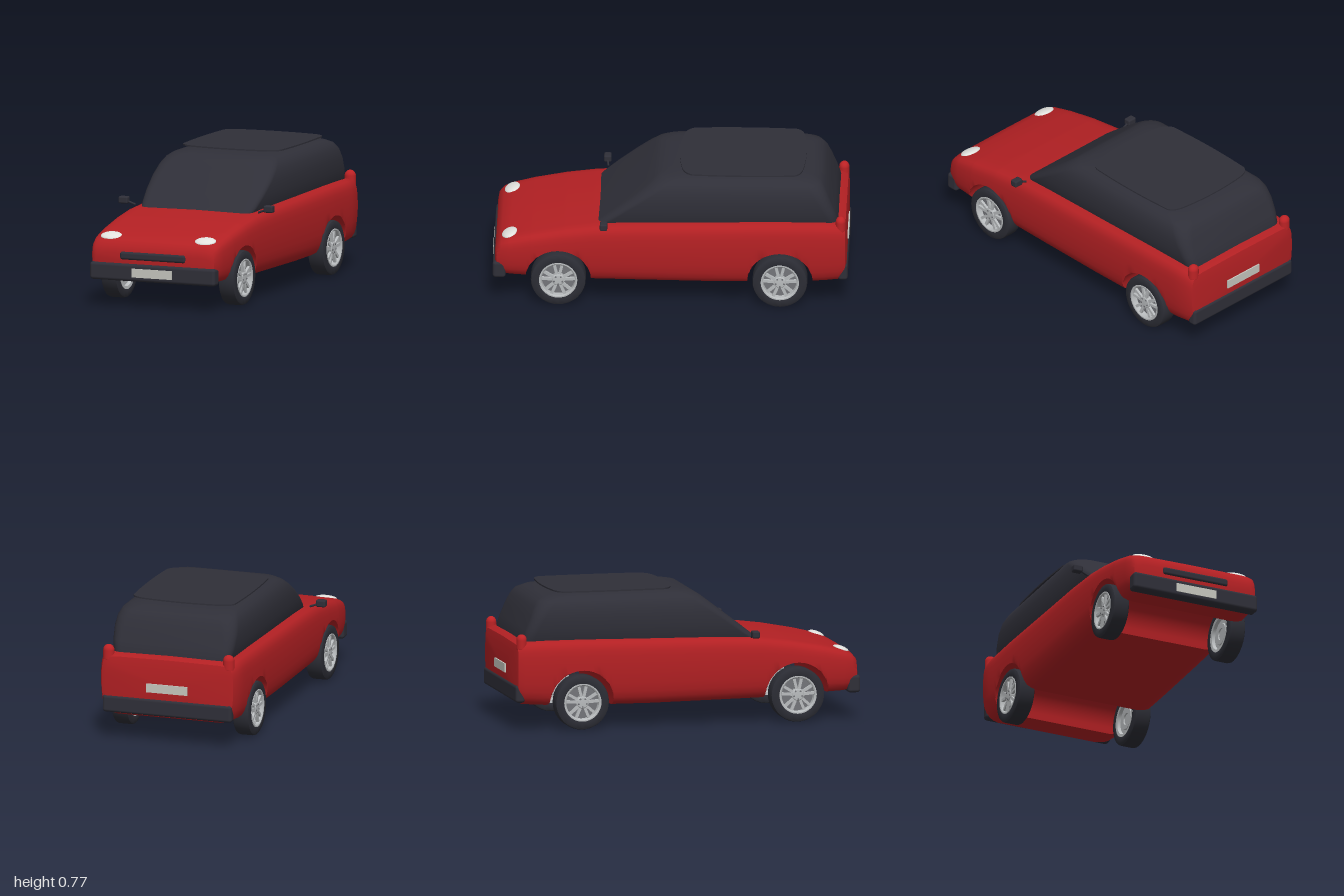
import * as THREE from 'three';
import { toCreasedNormals } from 'three/addons/utils/BufferGeometryUtils.js';
import { RoundedBoxGeometry } from 'three/addons/geometries/RoundedBoxGeometry.js';

function material(name, color) {
  const m = new THREE.MeshStandardMaterial({ color });
  m.name = name;
  return m;
}
const paint = material('red paint', 0xb32023);
const trim = material('dark trim', 0x2f2f38);
const rubber = material('tyre rubber', 0x2c2d35);
const silver = material('wheel silver', 0xb9bcbe);
const shade = material('wheel shade', 0x74757a);
const lamp = material('lamp white', 0xe2e2de);
const plateGrey = material('plate grey', 0xc6c6be);
const tail = material('tail lamp red', 0xbd2225);

function add(parent, name, geometry, mat, x = 0, y = 0, z = 0) {
  const mesh = new THREE.Mesh(geometry, mat);
  mesh.name = name;
  mesh.position.set(x, y, z);
  parent.add(mesh);
  return mesh;
}

// Skin over closed rings of [x, y, z], with flat caps at both ends
function loft(rings, crease) {
  const n = rings[0].length, pos = rings.flat(2), index = [];
  rings.slice(1).forEach((_, i) => {
    for (let j = 0; j < n; j++) {
      const a = i * n + j, b = i * n + (j + 1) % n;
      index.push(a, b, b + n, a, b + n, a + n);
    }
  });
  [0, rings.length - 1].forEach((i) => {
    const c = pos.length / 3;
    for (let k = 0; k < 3; k++) pos.push(rings[i].reduce((s, p) => s + p[k], 0) / n);
    for (let j = 0; j < n; j++) {
      const a = i * n + j, b = i * n + (j + 1) % n;
      if (i) index.push(c, a, b); else index.push(c, b, a);
    }
  });
  const g = new THREE.BufferGeometry();
  g.setAttribute('position', new THREE.Float32BufferAttribute(pos, 3));
  g.setIndex(index);
  return toCreasedNormals(g, crease);
}

const AXLES = [0.63, -0.61], AXLE_Y = 0.154, ARCH = 0.182;

// Body stations: z, bottom, top, half width
const STATIONS = [
  [-0.982, 0.19, 0.45, 0.365], [-0.975, 0.16, 0.485, 0.39], [-0.94, 0.145, 0.5, 0.405],
  [-0.85, 0.137, 0.506, 0.412], [-0.6, 0.128, 0.505, 0.415], [-0.2, 0.125, 0.497, 0.415],
  [0.2, 0.13, 0.49, 0.415], [0.43, 0.133, 0.479, 0.413], [0.6, 0.14, 0.457, 0.411],
  [0.78, 0.15, 0.423, 0.406], [0.9, 0.155, 0.394, 0.396], [0.95, 0.16, 0.375, 0.385],
  [0.977, 0.17, 0.345, 0.372], [0.985, 0.2, 0.305, 0.35],
];
// Half section: fraction of half width, fraction of height
const SECTION = [
  [0, 0], [0.75, 0], [0.84, 0.02], [0.91, 0.06], [0.95, 0.13], [0.975, 0.22], [0.99, 0.34], [1, 0.5],
  [1, 0.64], [0.995, 0.76], [0.985, 0.85], [0.965, 0.92], [0.93, 0.965], [0.87, 0.99], [0.78, 1], [0, 1.01],
];

function stationAt(z) {
  const i = Math.max(1, STATIONS.findIndex((s) => s[0] >= z));
  const a = STATIONS[i - 1], b = STATIONS[i], t = (z - a[0]) / (b[0] - a[0]);
  return a.map((v, k) => v + (b[k] - v) * t);
}

function bodyGeometry() {
  const zs = STATIONS.map((s) => s[0]);
  for (const c of AXLES) {
    zs.push(c - ARCH - 0.002, c + ARCH + 0.002);
    for (let i = 0; i <= 28; i++) zs.push(c - Math.cos(i / 28 * Math.PI) * ARCH);
  }
  zs.sort((a, b) => a - b);
  const rings = zs.map((z) => {
    const [, bottom, top, w] = stationAt(z);
    // wheel arches lift the underside
    let arch = 0;
    for (const c of AXLES) {
      const d = Math.abs(z - c);
      if (d < ARCH + 0.0005) arch = AXLE_Y + Math.sqrt(Math.max(0, ARCH * ARCH - d * d));
    }
    const half = SECTION.map(([fx, fy]) => [fx * w, Math.max(arch, bottom + fy * (top - bottom)), z]);
    return [...half, ...half.slice(1, -1).reverse().map(([x, y]) => [-x, y, z])];
  });
  return loft(rings, 0.75);
}

// Cabin levels: y, front z, back z, half width, corner radius
const LEVELS = [
  [0.47, 0.42, -0.935, 0.335, 0.05], [0.5, 0.384, -0.935, 0.347, 0.055], [0.56, 0.307, -0.913, 0.358, 0.06],
  [0.63, 0.216, -0.884, 0.362, 0.07], [0.685, 0.145, -0.86, 0.354, 0.08], [0.72, 0.1, -0.835, 0.337, 0.09],
  [0.74, 0.068, -0.79, 0.312, 0.1], [0.752, 0.02, -0.72, 0.27, 0.1], [0.759, -0.06, -0.62, 0.19, 0.1],
];
function cabinGeometry() {
  return loft(LEVELS.map(([y, front, back, w, r]) => {
    const ring = [];
    [[1, 1], [1, -1], [-1, -1], [-1, 1]].forEach(([sx, sz], q) => {
      for (let i = 0; i <= 6; i++) {
        const a = (q + i / 6) * Math.PI / 2;
        ring.push([sx * (w - r) + Math.sin(a) * r, y, (sz > 0 ? front - r : back + r) + Math.cos(a) * r]);
      }
    });
    return ring;
  }), 0.6);
}

function roofPanelGeometry() {
  const s = new THREE.Shape();
  s.moveTo(-0.22, 0.06);
  s.quadraticCurveTo(0, 0.022, 0.22, 0.06);
  s.quadraticCurveTo(0.285, 0.075, 0.3, 0.12);
  s.quadraticCurveTo(0.32, 0.4, 0.3, 0.685);
  s.quadraticCurveTo(0.285, 0.725, 0.22, 0.735);
  s.quadraticCurveTo(0, 0.765, -0.22, 0.735);
  s.quadraticCurveTo(-0.285, 0.725, -0.3, 0.685);
  s.quadraticCurveTo(-0.32, 0.4, -0.3, 0.12);
  s.quadraticCurveTo(-0.285, 0.075, -0.22, 0.06);
  return new THREE.ExtrudeGeometry(s, { depth: 0.008, bevelEnabled: false, curveSegments: 10 }).rotateX(-Math.PI / 2);
}

// Turned part around the x axis; points are [radius, x]
function turned(points) {
  const g = new THREE.LatheGeometry(points.map(([r, x]) => new THREE.Vector2(r, x)), 40);
  return toCreasedNormals(g.rotateZ(-Math.PI / 2), 0.6);
}

// Wheel with its outer face towards +x
function makeWheel() {
  const wheel = new THREE.Group();
  add(wheel, 'tyre', turned([[0.1, -0.046], [0.115, -0.05], [0.143, -0.049], [0.151, -0.044], [0.154, -0.034],
    [0.154, 0.034], [0.151, 0.044], [0.143, 0.049], [0.115, 0.05], [0.1, 0.046]]), rubber);
  add(wheel, 'rimRing', turned([[0.092, 0.01], [0.094, 0.046], [0.1, 0.051], [0.107, 0.051], [0.108, 0.044]]), silver)
    .material.side = THREE.DoubleSide;
  add(wheel, 'rimBack', turned([[0, -0.03], [0.03, -0.03], [0.034, -0.036], [0.06, -0.036], [0.064, -0.03],
    [0.085, -0.03], [0.09, -0.048], [0.107, -0.05], [0.107, -0.02]]), silver);
  add(wheel, 'brakeDisc', turned([[0.1, 0.012], [0.1, 0.018], [0, 0.018]]), shade);
  add(wheel, 'hub', turned([[0.036, 0.015], [0.036, 0.042], [0.03, 0.047], [0, 0.049]]), silver);
  for (let i = 0; i < 10; i++) {
    // five pairs of spokes
    const a = Math.floor(i / 2) * Math.PI * 0.4 + (i % 2 ? 0.23 : -0.23);
    const spoke = new THREE.BoxGeometry(0.014, 0.068, 0.016).translate(0.037, 0.064, 0).rotateX(a);
    add(wheel, 'spoke', spoke, silver);
  }
  for (let i = 0; i < 5; i++) {
    const a = (i + 0.5) * Math.PI * 0.4;
    add(wheel, 'wheelBolt', new THREE.CylinderGeometry(0.005, 0.005, 0.008, 8).rotateZ(Math.PI / 2),
      shade, 0.047, Math.cos(a) * 0.024, Math.sin(a) * 0.024);
  }
  return wheel;
}

export function createModel() {
  const car = new THREE.Group();
  car.name = 'car';
  add(car, 'body', bodyGeometry(), paint);
  add(car, 'cabin', cabinGeometry(), trim);
  add(car, 'roofPanel', roofPanelGeometry(), trim, 0, 0.762, 0);

  // Bumpers, grille and plates
  add(car, 'frontBumper', new RoundedBoxGeometry(0.765, 0.1, 0.073, 4, 0.018), trim, 0, 0.2, 0.961);
  add(car, 'rearBumper', new RoundedBoxGeometry(0.765, 0.1, 0.056, 4, 0.018), trim, 0, 0.21, -0.961);
  add(car, 'grille', new RoundedBoxGeometry(0.4, 0.045, 0.03, 4, 0.014), trim, 0, 0.293, 0.979);
  add(car, 'frontPlate', new THREE.BoxGeometry(0.245, 0.05, 0.006), plateGrey, 0, 0.2, 0.998);
  add(car, 'rearPlate', new THREE.BoxGeometry(0.245, 0.05, 0.009), plateGrey, 0, 0.322, -0.985);

  for (const side of [1, -1]) {
    const label = side > 0 ? 'left' : 'right';
    // Lamps
    const head = add(car, label + 'Headlight', new THREE.SphereGeometry(1, 28, 16), lamp, side * 0.287, 0.389, 0.905);
    head.scale.set(0.063, 0.016, 0.045);
    head.rotation.x = 0.33;
    const rear = add(car, label + 'TailLamp', new THREE.CapsuleGeometry(0.032, 0.045, 8, 18), tail, side * 0.355, 0.491, -0.95);
    rear.scale.z = 0.9;

    // Door mirror on a short stalk
    add(car, label + 'Mirror', new RoundedBoxGeometry(0.056, 0.04, 0.042, 3, 0.009), trim, side * 0.443, 0.51, 0.375);
    const stalk = new THREE.LineCurve3(new THREE.Vector3(side * 0.375, 0.486, 0.37), new THREE.Vector3(side * 0.425, 0.504, 0.375));
    add(car, label + 'MirrorStalk', new THREE.TubeGeometry(stalk, 1, 0.006, 8), trim);

    // Wheels
    AXLES.forEach((z, i) => {
      const wheel = makeWheel();
      wheel.name = label + (i ? 'RearWheel' : 'FrontWheel');
      wheel.position.set(side * 0.359, AXLE_Y, z);
      if (side < 0) wheel.rotation.y = Math.PI;
      car.add(wheel);
    });
  }
  return car;
}
